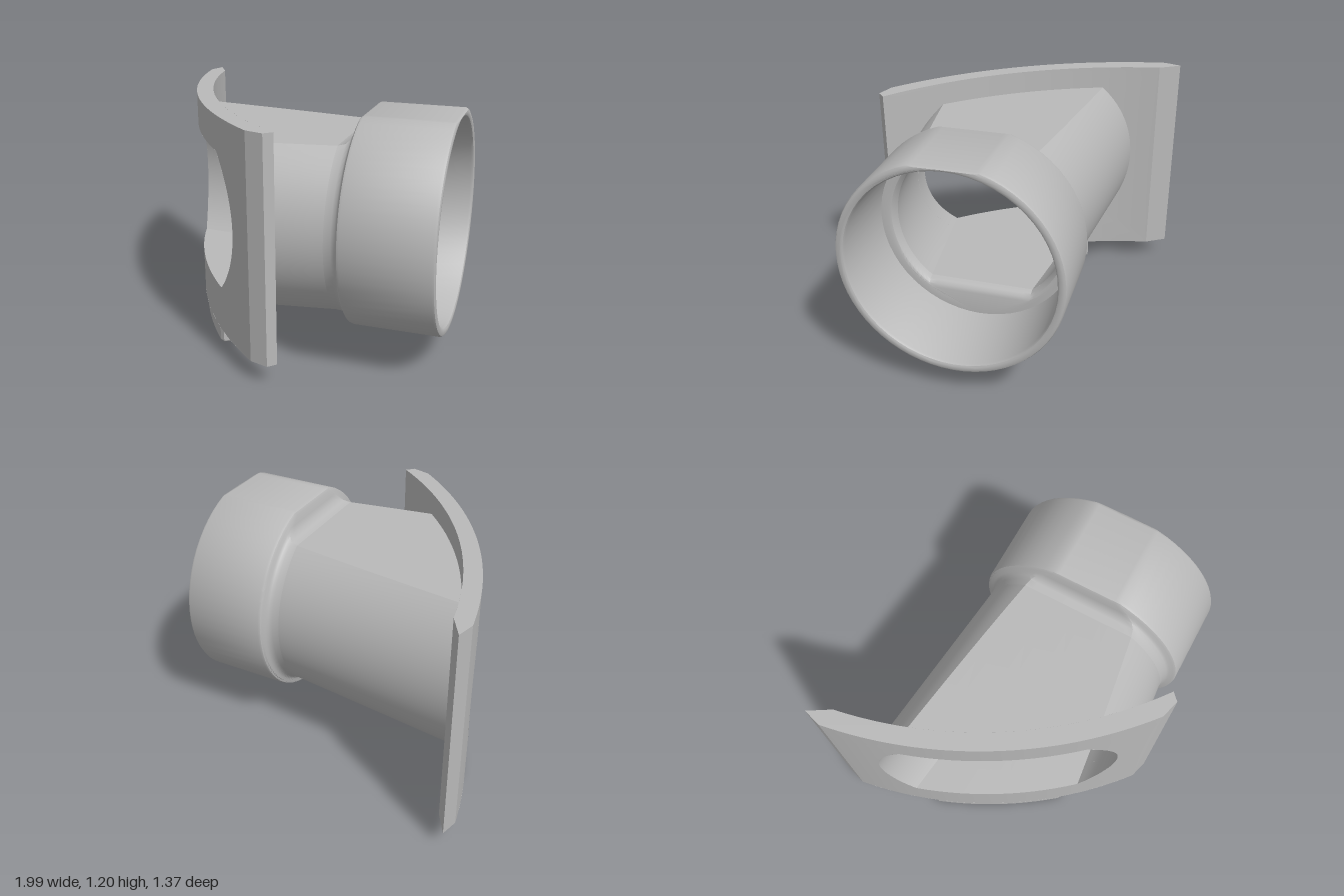
import * as THREE from 'three';
import { toCreasedNormals } from 'three/addons/utils/BufferGeometryUtils.js';

const CY = 0.682, BOTTOM = 0.1, TOP = 1.2;     // pipe axis height, plate extent
const R = 2.12, SAG = 0.138, THICK = 0.085;    // curved plate
const ARC = 28, FLAT = 14;                     // section segments

// Plate frame: a runs along the chord, n points out of the convex face
const plateXZ = (a, n) => [-0.36 + 0.83 * a - 0.557 * n, 0.26 + 0.557 * a + 0.83 * n];
const platePoint = (a, n, y) => { const [x, z] = plateXZ(a, n); return [x, y, z]; };
const arcN = (a, inset) => Math.sqrt((R - inset) ** 2 - a * a) - (R - SAG);
const toPlate = ([x, y, z]) => {
  const dx = x + 0.36, dz = z - 0.26;
  return [0.83 * dx + 0.557 * dz, -0.557 * dx + 0.83 * dz, y];
};

// Pipe frame: s runs from the socket mouth towards the plate
const pipePoint = (s, u, v) => [0.757 - 0.898 * s + 0.44 * u, CY + v, -0.206 + 0.44 * s + 0.898 * u];

// Circle cut flat above and below, counter-clockwise
function section(r, top, bottom) {
  const at = Math.asin(Math.min(1, top / r)), ab = Math.asin(Math.min(1, bottom / r));
  const pts = [];
  const polar = (t) => [r * Math.cos(t), r * Math.sin(t)];
  const line = (p, q) => {
    for (let i = 0; i < FLAT; i++) {
      const k = i / FLAT;
      pts.push([p[0] + (q[0] - p[0]) * k, p[1] + (q[1] - p[1]) * k]);
    }
  };
  const arc = (t0, t1) => { for (let i = 0; i < ARC; i++) pts.push(polar(t0 + (t1 - t0) * i / ARC)); };
  arc(-ab, at);
  line(polar(at), polar(Math.PI - at));
  arc(Math.PI - at, Math.PI + ab);
  line(polar(Math.PI + ab), polar(-ab));
  pts.push(pts[0]);
  return pts;
}
const ring = (s, r, top = 9, bottom = top) => section(r, top, bottom).map(([u, v]) => pipePoint(s, u, v));

// Tapered walls of the duct
const outerSection = (s) => section(0.487 + 0.093 * (s - 0.46), 0.403, 0.403);
const innerSection = (s) => {
  const clip = 0.338 + 0.012 * (s - 0.46);
  return section(0.43 + 0.093 * (s - 0.46), clip, clip);
};

// Distance along the pipe at which each generator of a wall meets a plate arc
function meet(wall, inset) {
  return wall(0.5).map((_, j) => {
    let lo = 0.3, hi = 2;
    for (let k = 0; k < 26; k++) {
      const s = (lo + hi) / 2;
      const [a, n] = toPlate(pipePoint(s, ...wall(s)[j]));
      if (n < arcN(a, inset)) lo = s; else hi = s;
    }
    return lo;
  });
}
function wallRows(wall, start, ends, steps = 6) {
  const rows = [];
  for (let i = 0; i <= steps; i++) {
    rows.push(ends.map((e, j) => {
      const s = start + (e - start) * i / steps;
      return pipePoint(s, ...wall(s)[j]);
    }));
  }
  return rows;
}

// Skin through rows of points
function loft(rows, crease = 0.6) {
  const cols = rows[0].length, index = [];
  for (let i = 0; i < rows.length - 1; i++) {
    for (let j = 0; j < cols - 1; j++) {
      const p = i * cols + j, q = p + cols;
      index.push(p, p + 1, q, p + 1, q + 1, q);
    }
  }
  const g = new THREE.BufferGeometry();
  g.setAttribute('position', new THREE.Float32BufferAttribute(rows.flat(2), 3));
  g.setIndex(index);
  return toCreasedNormals(g, crease);
}

// Curved plate face, from the duct opening out to its rectangle
function faceRows(inset, a0, a1) {
  const hole = meet(innerSection, inset).map((s, j) => {
    const [a, , y] = toPlate(pipePoint(s, ...innerSection(s)[j]));
    return [a, y];
  });
  const as = hole.map((p) => p[0]);
  const ca = (Math.min(...as) + Math.max(...as)) / 2;
  const rim = hole.map(([a, y]) => {
    const da = a - ca, dy = y - CY;
    const ka = da > 0 ? (a1 - ca) / da : da < 0 ? (a0 - ca) / da : 1e9;
    const ky = dy > 0 ? (TOP - CY) / dy : dy < 0 ? (BOTTOM - CY) / dy : 1e9;
    const k = Math.min(ka, ky);
    return [ca + da * k, CY + dy * k];
  });
  for (const c of [[a0, BOTTOM], [a0, TOP], [a1, BOTTOM], [a1, TOP]]) {
    let best = 0;
    const dist = (p) => Math.hypot(p[0] - c[0], p[1] - c[1]);
    rim.forEach((p, j) => { if (dist(p) < dist(rim[best])) best = j; });
    rim[best] = c;
  }
  const rows = [];
  for (let i = 0; i <= 8; i++) {
    rows.push(hole.map(([a, y], j) => {
      const k = i / 8, aa = a + (rim[j][0] - a) * k;
      return platePoint(aa, arcN(aa, inset), y + (rim[j][1] - y) * k);
    }));
  }
  return rows;
}

// Points along a plate arc
const arcPoints = (a0, a1, inset) => Array.from({ length: 33 }, (_, i) => {
  const a = a0 + (a1 - a0) * i / 32;
  return [a, arcN(a, inset)];
});
const flatShape = (pts, sign) => new THREE.Shape(pts.map(([a, n]) => {
  const [x, z] = plateXZ(a, n);
  return new THREE.Vector2(x, sign * z);
}));

export function createModel() {
  const model = new THREE.Group();
  const grey = new THREE.MeshStandardMaterial({ color: 0xb9b9b9, side: THREE.DoubleSide });
  grey.name = 'plain grey';
  const add = (name, geometry, parent = model) => {
    const mesh = new THREE.Mesh(geometry, grey);
    mesh.name = name;
    parent.add(mesh);
    return mesh;
  };

  // Saddle plate with an opening for the duct
  const plate = new THREE.Group();
  plate.name = 'saddlePlate';
  model.add(plate);
  const F = 0.7535, B0 = -0.6935, B1 = 0.81;
  add('plateFront', loft(faceRows(0, -F, F).reverse()), plate);
  add('plateBack', loft(faceRows(THICK, B0, B1)), plate);
  const leftTip = [-0.816, -0.066], rightTip = [0.822, -0.066];
  const ends = [
    [[B0, arcN(B0, THICK)], leftTip, [-F, arcN(F, 0)]],
    [[F, arcN(F, 0)], rightTip, [B1, arcN(B1, THICK)]],
  ];
  for (const e of ends) {
    add('plateEnd', loft([BOTTOM, TOP].map((y) => e.map(([a, n]) => platePoint(a, n, y))), 0.3), plate);
  }
  const outline = [...arcPoints(-F, F, 0), rightTip, ...arcPoints(B1, B0, THICK), leftTip];
  const topCap = new THREE.ShapeGeometry(flatShape(outline, -1)).rotateX(-Math.PI / 2).translate(0, TOP, 0);
  const bottomCap = new THREE.ShapeGeometry(flatShape(outline, 1)).rotateX(Math.PI / 2).translate(0, BOTTOM, 0);
  add('plateTop', topCap, plate);
  add('plateBottom', bottomCap, plate);

  // Locating tab under the plate
  const tab = [...arcPoints(-0.335, 0.335, 0.012), [0.357, 0.085], ...arcPoints(0.357, -0.357, 0.08), [-0.357, 0.085]];
  add('bottomTab', new THREE.ExtrudeGeometry(flatShape(tab, -1), {
    depth: 0.1, bevelSize: 0.01, bevelOffset: -0.01, bevelThickness: 0.01, bevelSegments: 3,
  }).rotateX(-Math.PI / 2).translate(0, 0.01, 0));

  // Tapered duct inside and out
  add('ductInterior', loft(wallRows(innerSection, 0.47, meet(innerSection, 0)).reverse()));
  add('ductExterior', loft(wallRows(outerSection, 0.51, meet(outerSection, THICK - 0.01))));

  // Round socket: step, bore, rounded lip, outside and shoulder fillet
  add('pipeSocket', loft([
    ring(0.47, 0.431, 0.338),
    ring(0.44, 0.437, 0.346),
    ring(0.425, 0.447, 0.36),
    ring(0.42, 0.46, 0.38),
    ring(0.42, 0.498),
    ring(0.015, 0.5),
    ring(0.004, 0.506),
    ring(0, 0.514),
    ring(0, 0.531, 0.512, 9),
    ring(0.004, 0.54, 0.516, 9),
    ring(0.014, 0.545, 0.518, 9),
    ring(0.422, 0.545, 0.518, 9),
    ring(0.434, 0.541, 0.512, 0.541),
    ring(0.441, 0.53, 0.498, 0.52),
    ring(0.446, 0.512, 0.46, 0.465),
    ring(0.456, 0.5, 0.43, 0.43),
    ring(0.475, 0.493, 0.411, 0.411),
    ring(0.51, 0.4917, 0.403, 0.403),
  ]));

  return model;
}
